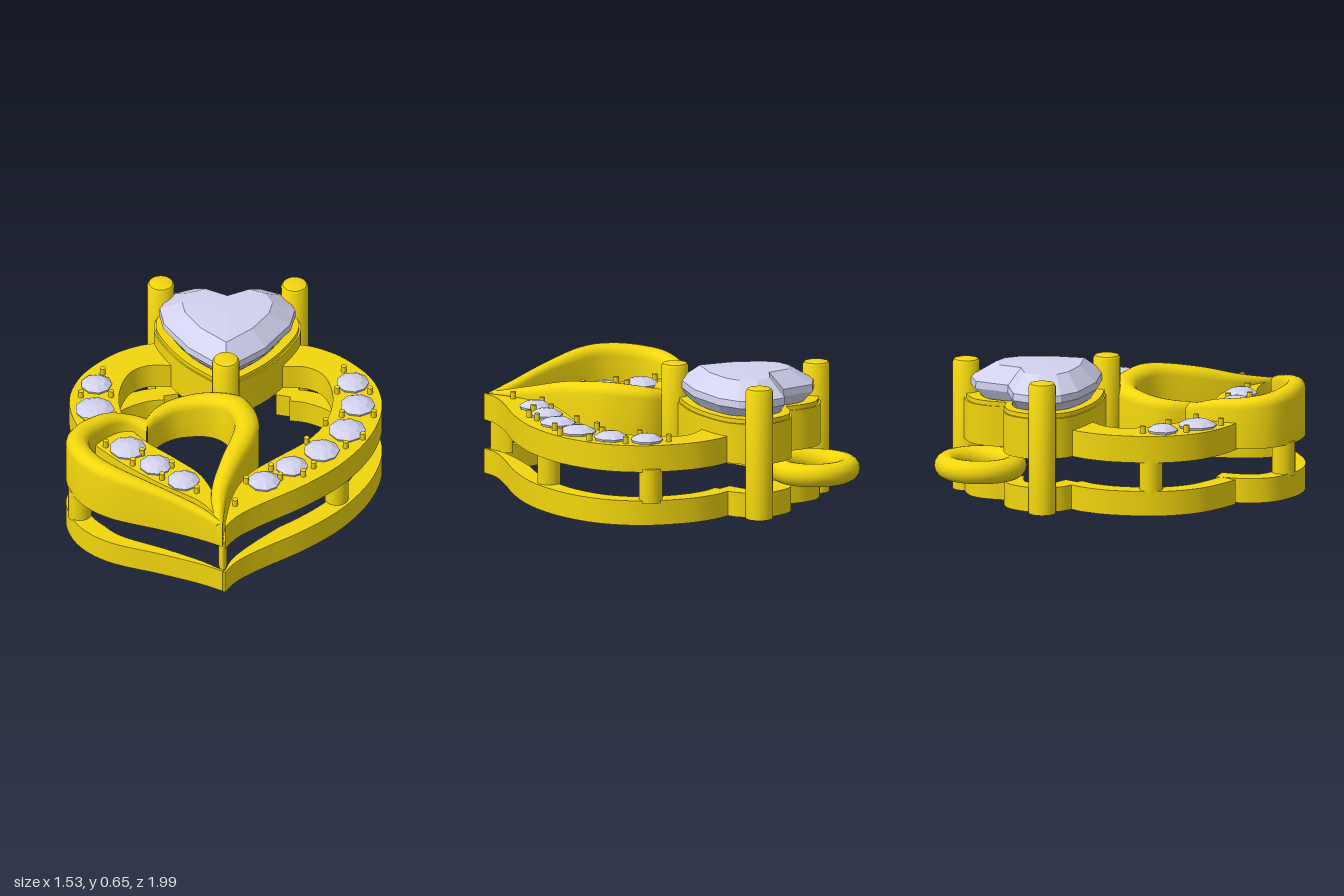
import * as THREE from 'three';
import { toCreasedNormals } from 'three/addons/utils/BufferGeometryUtils.js';

// All outlines are lists of [x, z] seen from above, running from the front tip round +x to the back.
const gold = new THREE.MeshStandardMaterial({ color: 0xf2d60e });
const stone = new THREE.MeshStandardMaterial({ color: 0xd2d2f0, flatShading: true });

const spline = (pts, n = 40) =>
  new THREE.SplineCurve(pts.map(p => new THREE.Vector2(p[0], p[1]))).getPoints(n).map(v => [v.x, v.y]);
const mirror = pts => pts.map(([x, z]) => [-x, z]).reverse();
const scaleAbout = (pts, s, cz) => pts.map(([x, z]) => [x * s, cz + (z - cz) * s]);

// Flat plate from an outline, between two heights, with optional holes
function plate(outline, y0, y1, holes = []) {
  const toShape = pts => pts.map(([x, z]) => new THREE.Vector2(x, -z));
  const shape = new THREE.Shape(toShape(outline));
  for (const h of holes) shape.holes.push(new THREE.Path(toShape(h)));
  const g = new THREE.ExtrudeGeometry(shape, { depth: y1 - y0, bevelEnabled: false });
  g.rotateX(-Math.PI / 2).translate(0, y0, 0);
  return toCreasedNormals(g, 0.6);
}

// Skin over rows of points; each row is a closed loop
function skin(rows) {
  const n = rows[0].length, index = [];
  for (let j = 0; j < rows.length - 1; j++)
    for (let i = 0; i < n; i++) {
      const a = j * n + i, b = j * n + (i + 1) % n;
      index.push(a, b, b + n, a, b + n, a + n);
    }
  const g = new THREE.BufferGeometry();
  g.setAttribute('position', new THREE.Float32BufferAttribute(rows.flat(2), 3));
  g.setIndex(index);
  g.computeVertexNormals();
  return g;
}

// Cut stone: outline scaled about (0, cz) at each [height, scale]
function cutStone(outline, cz, levels) {
  return skin(levels.map(([y, s]) => scaleAbout(outline, s, cz).map(([x, z]) => [x, y, z])));
}

// Strip of constant width inside an outline, narrowing at the front tip
function strip(outline, width) {
  const inner = outline.map(([x, z], i) => {
    const p = outline[Math.max(i - 1, 0)], q = outline[Math.min(i + 1, outline.length - 1)];
    const dx = q[0] - p[0], dz = q[1] - p[1], l = Math.hypot(dx, dz) || 1;
    const w = width * Math.min(1, Math.max(0.12, (1 - z) / 0.3));
    return [x + dz / l * w, z - dx / l * w];
  });
  return [...outline, ...inner.reverse()];
}

const circle = (x, z, r, n = 16, turn = 0) => Array.from({ length: n }, (_, i) => {
  const a = i / n * Math.PI * 2 + turn;
  return [x + r * Math.cos(a), z - r * Math.sin(a)];
});

// Right-hand edges of the large heart
const outerR = [[0.012, 0.99], [0.07, 0.9], [0.185, 0.8], [0.4, 0.64], [0.58, 0.46], [0.71, 0.24],
  [0.76, 0.01], [0.71, -0.2], [0.57, -0.37], [0.43, -0.455], [0.32, -0.48]];
const innerR = [[0.012, 0.95], [0.035, 0.78], [0.07, 0.66], [0.13, 0.55], [0.24, 0.44], [0.4, 0.29],
  [0.49, 0.135], [0.52, -0.05], [0.48, -0.22], [0.39, -0.295], [0.26, -0.3]];
const outerL = [[0.012, 0.96], [0.05, 0.87], [0.13, 0.77], [0.32, 0.635], [0.53, 0.45], [0.69, 0.25],
  ...outerR.slice(6)];

// Half of the centre stone's heart, tip to notch
const halfHeart = [[0, -0.05], [0.19, -0.22], [0.31, -0.41], [0.332, -0.53], [0.28, -0.645],
  [0.16, -0.695], [0.07, -0.67], [0, -0.615]];
const wholeHeart = half => [...half, ...mirror(half).slice(1, -1)];
const HEART_Z = -0.38;

// Small heart: [outer x, outer z, inner x, inner z, top height]
const lobeR = [[0, 0.97, -0.03, 0.97, 0.4], [0.02, 0.75, -0.06, 0.74, 0.45], [0.08, 0.57, -0.02, 0.55, 0.5],
  [0.15, 0.4, 0.035, 0.38, 0.53], [0.165, 0.26, 0.045, 0.28, 0.54], [0.1, 0.09, 0.01, 0.17, 0.525],
  [-0.01, 0.015, -0.05, 0.115, 0.5], [-0.13, 0, -0.13, 0.1, 0.485], [-0.26, 0.035, -0.24, 0.12, 0.47],
  [-0.34, 0.09, -0.32, 0.18, 0.46], [-0.39, 0.18, -0.375, 0.26, 0.45]];
const lobeL = [[-0.37, 0.17, -0.38, 0.26, 0.45], [-0.47, 0.165, -0.46, 0.23, 0.47], [-0.6, 0.2, -0.54, 0.255, 0.5],
  [-0.72, 0.3, -0.63, 0.35, 0.515], [-0.77, 0.44, -0.655, 0.46, 0.53], [-0.71, 0.62, -0.6, 0.59, 0.545],
  [-0.56, 0.755, -0.5, 0.68, 0.54], [-0.3, 0.85, -0.28, 0.79, 0.49], [-0.12, 0.92, -0.1, 0.87, 0.44],
  [0, 0.98, 0, 0.95, 0.4]];

// Upright wall with a half-round top that follows the height column
function roundedWall(table, y0) {
  const out = spline(table, 60), inn = spline(table.map(r => [r[2], r[3]]), 60);
  const top = spline(table.map(r => [r[4], 0]), 60);
  const rows = out.map(([ox, oz], k) => {
    const [ix, iz] = inn[k], h = top[k][0], r = Math.min(0.05, Math.hypot(ox - ix, oz - iz) / 2);
    const row = [[ix, y0, iz]];
    for (let s = 0; s <= 8; s++) {
      const a = s / 8 * Math.PI, t = (1 - Math.cos(a)) / 2;
      row.push([ix + (ox - ix) * t, h - r + r * Math.sin(a), iz + (oz - iz) * t]);
    }
    return [...row, [ox, y0, oz]];
  });
  return toCreasedNormals(skin(rows), 0.7);
}

// Accent stones: [x, z, radius]
const stonesR = [[0.614, -0.167, 0.08], [0.64, 0.013, 0.086], [0.593, 0.214, 0.092], [0.472, 0.378, 0.088],
  [0.328, 0.505, 0.08], [0.196, 0.627, 0.08]];
const stonesL = [[-0.63, -0.135, 0.076], [-0.635, 0.066, 0.096], [-0.47, 0.373, 0.09],
  [-0.333, 0.505, 0.08], [-0.196, 0.627, 0.08]];
const beads = [[0.57, -0.265], [0.7, -0.095], [0.54, -0.095], [0.566, 0.093], [0.72, 0.09], [0.487, 0.16],
  [0.67, 0.27], [0.587, 0.34], [0.397, 0.31], [0.434, 0.505], [0.386, 0.57], [0.228, 0.527], [0.275, 0.6],
  [0.11, 0.63], [0.058, 0.81], [-0.6, -0.23], [-0.704, -0.045], [-0.556, -0.05], [-0.677, 0.177],
  [-0.54, 0.125], [-0.577, 0.35], [-0.444, 0.495], [-0.4, 0.415], [-0.254, 0.51], [-0.3, 0.607], [-0.13, 0.71]];

export function createModel() {
  const group = new THREE.Group();
  const add = (name, geometry, material = gold) => {
    const m = new THREE.Mesh(geometry, material);
    m.name = name;
    group.add(m);
    return m;
  };
  const post = (name, x, z, r, y0, y1, sides = 24) => {
    const m = add(name, new THREE.CylinderGeometry(r, r, y1 - y0, sides));
    m.position.set(x, (y0 + y1) / 2, z);
    return m;
  };

  // Upper heart band, drilled under each accent stone
  const drill = list => list.map(([x, z]) => circle(x, z, 0.045));
  add('upperBandLeft', plate([...spline(outerR, 60), ...spline(innerR, 60).reverse()], 0.265, 0.397, drill(stonesR)));
  add('upperBandRight', plate(mirror([...spline(outerL, 60), ...spline(innerR, 60).reverse()]), 0.265, 0.397, drill(stonesL)));

  // Base rail, one strip per arc of the overall outline
  const settingHalf = scaleAbout(halfHeart, 1.06, HEART_Z);
  const backLobe = spline(settingHalf.slice(2), 30);
  const sideL = mirror(spline(outerR.slice(5), 40));
  const rails = [spline(outerR, 60), backLobe, mirror(backLobe), sideL, spline(lobeL.slice(2), 50)];
  for (const arc of rails) add('baseRail', plate(strip(arc, 0.095), 0, 0.122));

  // Small raised heart
  add('smallHeartInnerLobe', roundedWall(lobeR, 0.27));
  add('smallHeartOuterLobe', roundedWall(lobeL, 0.27));

  // Setting and centre stone
  const smooth = wholeHeart(spline(halfHeart, 36));
  const ring = s => scaleAbout(smooth, s, HEART_Z);
  add('heartSetting', plate(ring(1.07), 0.265, 0.465, [ring(0.86)]));
  add('settingLip', plate(ring(1.04), 0.465, 0.487, [ring(0.86)]));
  add('centreStone', cutStone(wholeHeart(halfHeart.filter((_, i) => i !== 6)), HEART_Z,
    [[0.25, 0], [0.485, 0.86], [0.535, 1], [0.57, 0.99], [0.648, 0.66], [0.655, 0]]), stone);

  // Prongs with softly rounded tops
  for (const [x, z, y0] of [[0.325, -0.635, 0], [-0.325, -0.635, 0], [0, -0.03, 0.255]]) {
    const profile = [[0, y0], [0.066, y0], [0.066, 0.632], [0.058, 0.645], [0.035, 0.651], [0, 0.653]];
    const g = new THREE.LatheGeometry(profile.map(p => new THREE.Vector2(...p)), 24);
    add('prong', toCreasedNormals(g, 0.7)).position.set(x, 0, z);
  }

  // Posts between base and band
  for (const [x, z] of [[0.66, -0.21], [0.545, 0.39], [-0.64, -0.21], [-0.7, 0.53]])
    post('post', x, z, 0.057, 0.11, 0.28);
  post('tipPost', 0, 0.9, 0.06, 0.11, 0.28).scale.x = 0.35;

  // Hanging loop
  const loop = add('hangingLoop', new THREE.TorusGeometry(0.168, 0.057, 16, 40));
  loop.rotation.x = Math.PI / 2;
  loop.position.set(0, 0.195, -0.775);

  // Accent stones and their bead prongs
  [...stonesR, ...stonesL].forEach(([x, z, r], i) => {
    const g = cutStone(circle(0, 0, r, 9, i * 0.7), 0,
      [[0.3, 0], [0.395, 0.95], [0.408, 1], [0.428, 0.6], [0.437, 0]]);
    add('accentStone', g, stone).position.set(x, 0, z);
  });
  for (const [x, z] of beads) post('beadProng', x, z, 0.014, 0.38, 0.432, 10);

  return group;
}
